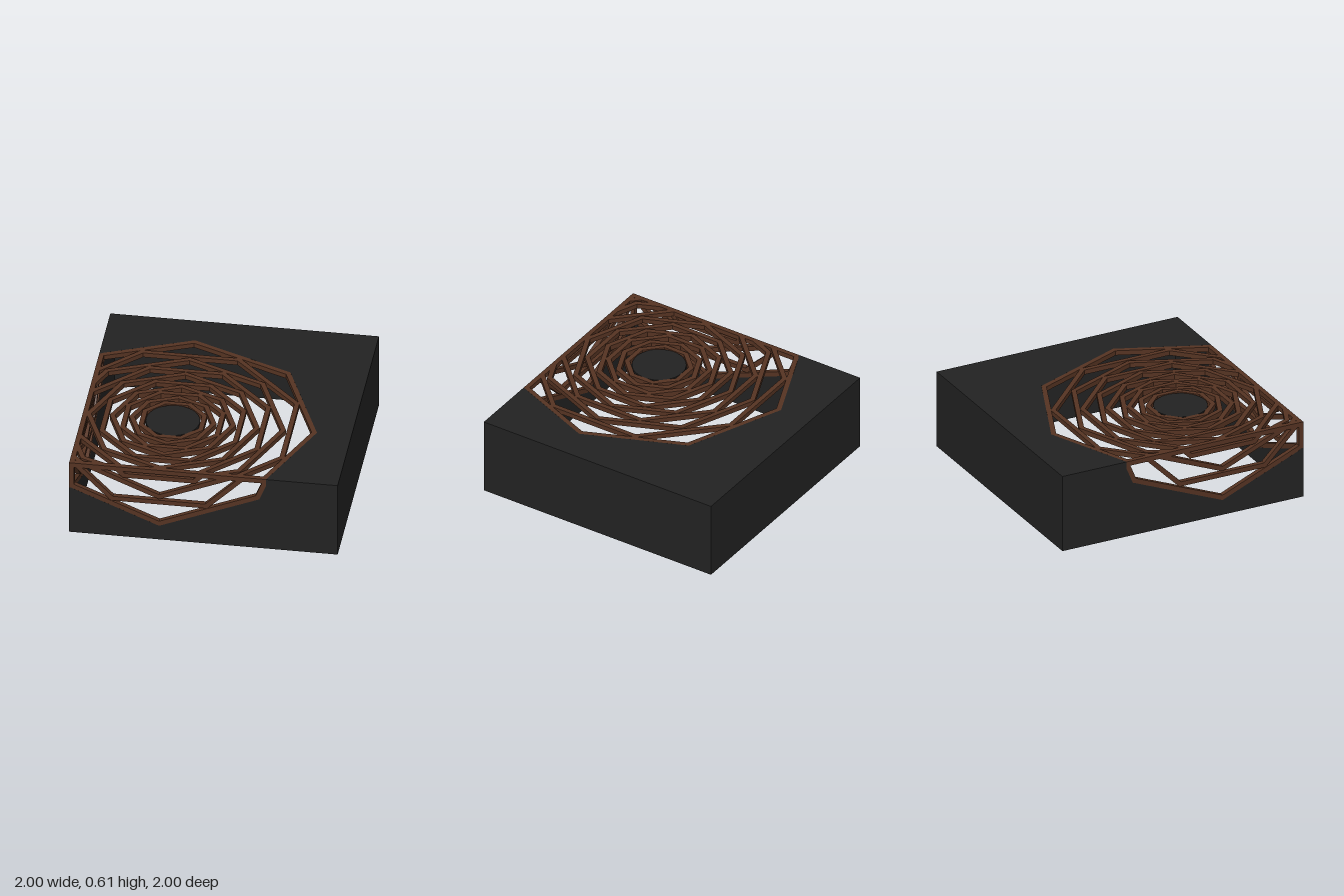
import * as THREE from 'three';

const H = 0.61, T = 0.037;      // total height, wall and bar thickness
const C = 0.33;                 // pattern centre offset towards the open corner
const EDGE = 0.466;             // where the opening meets the folded edges

const black = new THREE.MeshStandardMaterial({ color: 0x222222 });
black.name = 'shell black';
const brown = new THREE.MeshStandardMaterial({ color: 0x553322 });
brown.name = 'lattice brown';

// Keep the part of a convex polygon where coordinate `axis` * sign <= limit
function clip(pts, axis, sign, limit) {
  const out = [];
  pts.forEach((a, i) => {
    const b = pts[(i + 1) % pts.length];
    const da = limit - a[axis] * sign, db = limit - b[axis] * sign;
    if (da >= 0) out.push(a);
    if ((da > 0 && db < 0) || (da < 0 && db > 0)) {
      out.push(a.clone().lerp(b, da / (da - db)));
    }
  });
  return out;
}

const toShape = (pts) => new THREE.Shape(pts.map((p) => (p.isVector2 ? p : new THREE.Vector2(...p))));

function plate(name, shapes, material, depth = T) {
  const mesh = new THREE.Mesh(new THREE.ExtrudeGeometry(shapes, { depth, bevelEnabled: false }), material);
  mesh.name = name;
  return mesh;
}

// Eight mitred bars of one octagon ring, cut to the panel bounds.
// pointed: r is the corner radius and corners lie on the axes; otherwise r is the flat radius.
function ring(name, cx, cy, r, pointed, bounds, depth) {
  const cos = Math.cos(Math.PI / 8);
  const R = pointed ? r : r / cos;
  const inner = R - T / cos;
  const corner = (rad, i) => {
    const a = (i + (pointed ? 0 : 0.5)) * Math.PI / 4;
    return new THREE.Vector2(cx + rad * Math.cos(a), cy + rad * Math.sin(a));
  };
  const shapes = [];
  for (let i = 0; i < 8; i++) {
    let q = [corner(R, i), corner(R, i + 1), corner(inner, i + 1), corner(inner, i)];
    for (const [axis, sign, limit] of bounds) q = clip(q, axis, sign, limit);
    if (q.length > 2) shapes.push(toShape(q));
  }
  return plate(name, shapes, brown, depth);
}

function bar(name, w, h, d, x, y, z) {
  const mesh = new THREE.Mesh(new THREE.BoxGeometry(w, h, d), brown);
  mesh.name = name;
  mesh.position.set(x, y, z);
  return mesh;
}

// Top panel, drawn in (x, -z) and laid flat
function topPanel() {
  const g = new THREE.Group();
  g.name = 'topPanel';
  g.add(plate('topPlate', toShape([
    [EDGE, -1], [1, -1], [1, 1], [-1, 1], [-1, EDGE],
    [-C, 0.743], [0.429, 0.429], [0.743, -C],
  ]), black));
  const radii = [0.24, 0.325, 0.37, 0.47, 0.515, 0.647, 0.687, 0.842, 0.887, 1.073];
  const bounds = [['x', -1, 1], ['y', -1, 1]];
  radii.forEach((r, i) => {
    g.add(ring('topRing' + (i + 1), -C, -C, r, i % 2 === 1, bounds, i < 4 ? T + 0.004 : T));
  });
  const disc = new THREE.Mesh(new THREE.CylinderGeometry(0.2, 0.2, T, 48), black);
  disc.name = 'centreDisc';
  disc.rotation.x = Math.PI / 2;
  disc.position.set(-C, -C, T / 2);
  g.add(disc);
  g.rotation.x = -Math.PI / 2;
  g.position.y = H - T;
  return g;
}

// Open side wall; m = 1 for the front, -1 for its mirrored neighbour
function openWall(name, m) {
  const g = new THREE.Group();
  g.name = name;
  const cy = 1.175;
  g.add(plate(name + 'Plate', toShape([
    [-1, 0], [1, 0], [1, H], [EDGE, H], [EDGE, 0.55],
    [0.416, 0.429], [-C, 0.12], [-1, 0.397],
  ].map(([x, y]) => [x * m, y])), black));
  const bounds = [['x', -m, 1], ['x', m, EDGE], ['y', 1, H]];
  [0.655, 0.82, 0.866, 1.055].forEach((r, i) => {
    g.add(ring(name + 'Ring' + (i + 1), -C * m, cy, r, i % 2 === 1, bounds, T));
  });
  return g;
}

export function createModel() {
  const model = new THREE.Group();
  model.name = 'latticeCornerShell';
  model.add(topPanel());

  // The two open walls, meeting at the open corner
  const front = openWall('frontWall', 1);
  front.position.z = 1 - T;
  const side = openWall('sideWall', -1);
  side.rotation.y = -Math.PI / 2;
  side.position.x = -1 + T;
  model.add(front, side);

  // The two plain walls
  const wall = new THREE.BoxGeometry(2, H - T, T);
  const back = new THREE.Mesh(wall, black);
  back.name = 'backWall';
  back.position.set(0, (H - T) / 2, -1 + T / 2);
  const plain = new THREE.Mesh(wall, black);
  plain.name = 'plainSideWall';
  plain.rotation.y = Math.PI / 2;
  plain.position.set(1 - T / 2, (H - T) / 2, 0);
  model.add(back, plain);

  // Bars along the folded edges of the opening
  const len = 1 + EDGE, mid = (EDGE - 1) / 2, low = 0.39;
  model.add(
    bar('frontEdgeBar', len, T, T, mid, H - T / 2, 1 - T / 2),
    bar('sideEdgeBar', T, T, len, -1 + T / 2, H - T / 2, -mid),
    bar('cornerPost', T, H - low, T, -1 + T / 2, (H + low) / 2, 1 - T / 2),
  );
  return model;
}
